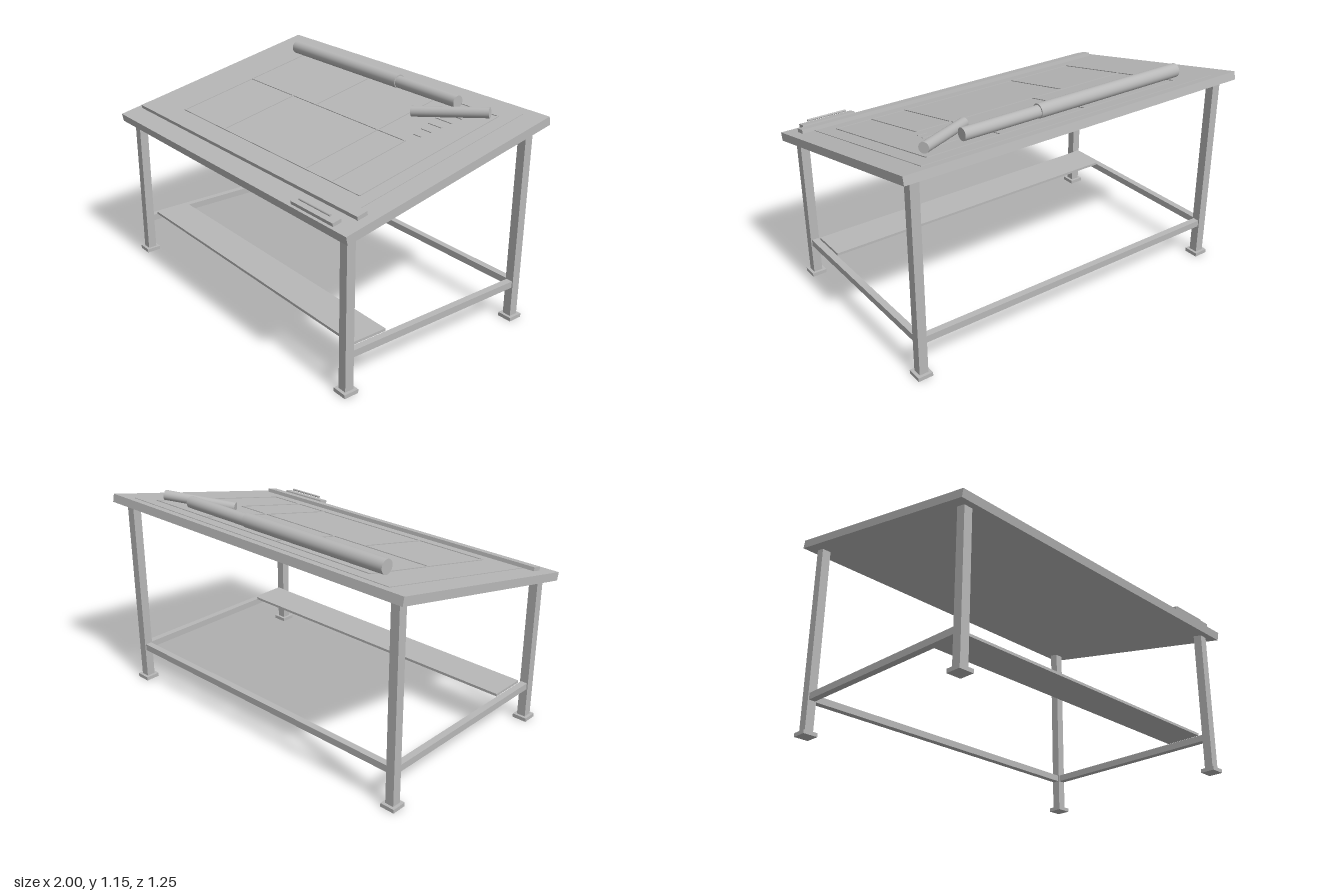
import * as THREE from 'three';

const TILT = THREE.MathUtils.degToRad(12);
const LENGTH = 1.272, THICK = 0.044;

export function createModel() {
  const model = new THREE.Group();
  model.name = 'draftingTable';
  const grey = new THREE.MeshStandardMaterial({ color: 0xb8b8b8 });
  grey.name = 'plain grey';

  const box = (parent, name, w, h, d, x, y, z) => {
    const m = new THREE.Mesh(new THREE.BoxGeometry(w, h, d), grey);
    m.name = name;
    m.position.set(x, y, z);
    parent.add(m);
    return m;
  };

  // cylinder between two points
  const rod = (parent, name, r, a, b, sides = 32) => {
    const from = new THREE.Vector3(...a), to = new THREE.Vector3(...b);
    const dir = to.clone().sub(from);
    const m = new THREE.Mesh(new THREE.CylinderGeometry(r, r, dir.length(), sides), grey);
    m.name = name;
    m.position.copy(from).add(to).multiplyScalar(0.5);
    m.quaternion.setFromUnitVectors(new THREE.Vector3(0, 1, 0), dir.normalize());
    parent.add(m);
  };

  // frame: legs, feet and rails
  for (const side of [-1, 1]) {
    const x = side * 0.92;
    for (const [label, z, top] of [['front', 0.55, 0.82], ['back', -0.55, 1.05]]) {
      box(model, label + 'Leg', 0.048, top - 0.01, 0.048, x, (top + 0.01) / 2, z);
      box(model, label + 'Foot', 0.08, 0.02, 0.08, x, 0.01, z);
    }
    box(model, 'sideRail', 0.036, 0.036, 1.06, x, 0.202, 0);
  }
  box(model, 'backRail', 1.8, 0.036, 0.036, 0, 0.202, -0.55);
  box(model, 'shelf', 1.8, 0.014, 0.2, 0, 0.227, 0.4);

  // tilted top; its local y = 0 is the working surface
  const top = new THREE.Group();
  top.name = 'tiltedTop';
  top.rotation.x = TILT;
  top.position.set(0, 0.951 + Math.cos(TILT) * THICK / 2, Math.sin(TILT) * THICK / 2);
  model.add(top);
  box(top, 'board', 2, THICK, LENGTH, 0, -THICK / 2, 0);
  box(top, 'paperSheet', 1.76, 0.003, 1.07, 0, 0.0015, -0.05);

  // raised plan lines drawn on the sheet
  const W = 0.008, H = 0.004, Y = 0.005;
  const across = (x0, x1, z) => box(top, 'planLine', x1 - x0, H, W, (x0 + x1) / 2, Y, z);
  const along = (x, z0, z1) => box(top, 'planLine', W, H, z1 - z0, x, Y, (z0 + z1) / 2);
  const front = 0.39, mid = -0.07, back = -0.5;
  across(-0.7, 0.8, front);
  across(-0.7, 0.8, back);
  across(-0.7, 0.6, mid);
  along(-0.7, back, front);
  along(0.8, back, front);
  along(0.4, back, front);
  along(-0.3, mid, front);
  along(-0.1, back, mid);
  along(0.6, mid, front);

  // stair treads on the plan
  for (let i = 0; i < 5; i++) {
    const half = 0.025 + i * 0.01;
    across(0.61 - half, 0.61 + half, -0.14 - i * 0.06);
  }

  // straightedge, pencil tray and pencil
  box(top, 'straightedge', 1.9, 0.02, 0.056, 0, 0.014, 0.5);
  box(top, 'pencilTray', 0.3, 0.018, 0.048, 0.75, 0.012, 0.6);
  rod(top, 'pencil', 0.006, [0.64, 0.034, 0.6], [0.86, 0.034, 0.6], 12);

  // rolled drawings
  rod(model, 'largeRoll', 0.037, [-0.75, 1.11, -0.428], [0.15, 1.11, -0.428]);
  rod(model, 'largeRollInner', 0.032, [0.15, 1.108, -0.428], [0.58, 1.108, -0.428]);
  rod(model, 'smallRoll', 0.027, [0.447, 1.062, -0.242], [0.786, 1.104, -0.438]);

  return model;
}
